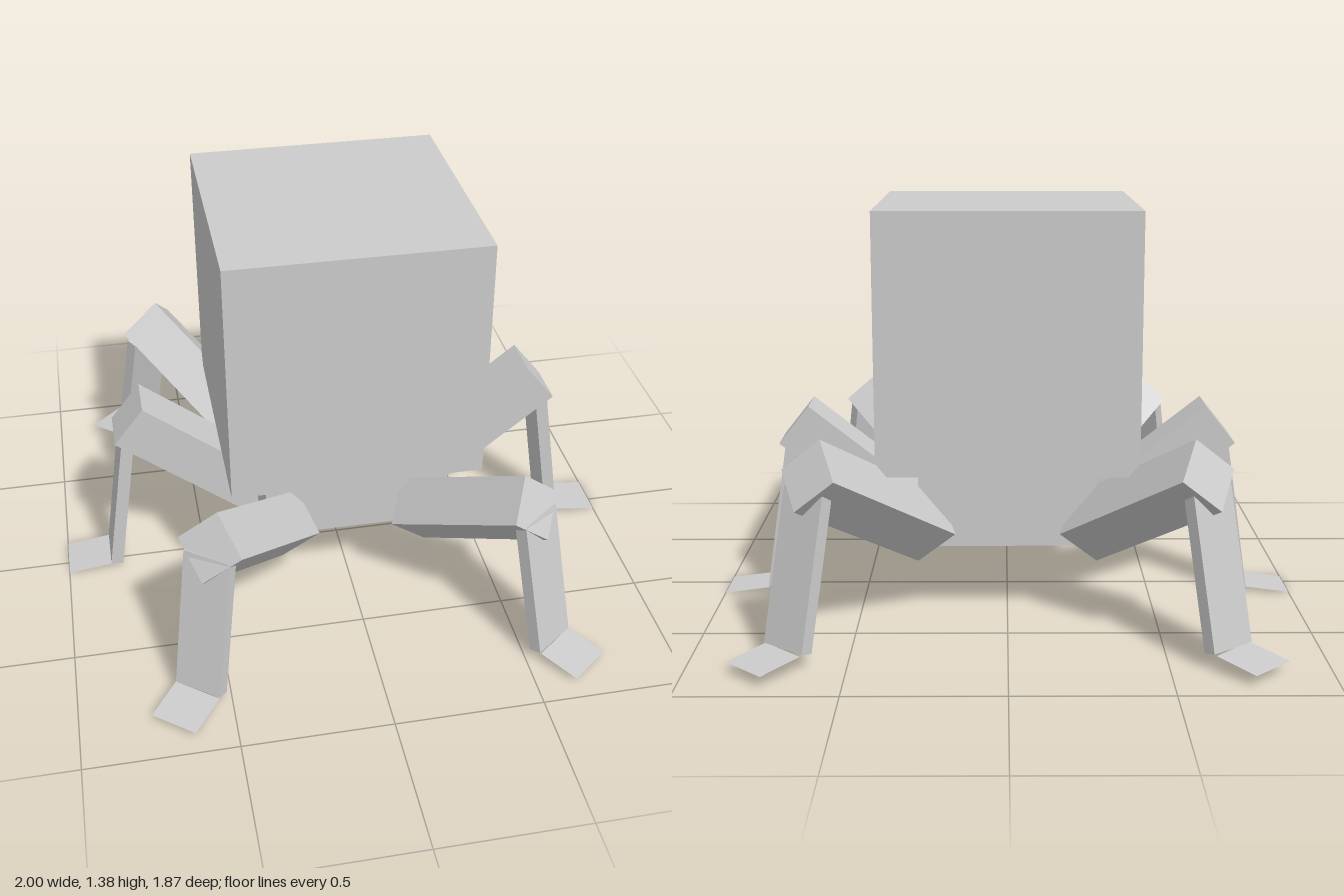
import * as THREE from 'three';

const material = new THREE.MeshStandardMaterial({ color: 0xcccccc, flatShading: true, side: THREE.DoubleSide });
const LEG_WIDTH = 0.168;

function part(name, geometry) {
  const mesh = new THREE.Mesh(geometry, material);
  mesh.name = name;
  return mesh;
}

function block(name, size, center) {
  const mesh = part(name, new THREE.BoxGeometry(...size));
  mesh.position.set(...center);
  return mesh;
}

// Places a part whose length runs along local z between two points, its width level
function span(mesh, from, to) {
  const dir = to.clone().sub(from).normalize();
  const side = new THREE.Vector3(0, 1, 0).cross(dir).normalize();
  const normal = dir.clone().cross(side);
  mesh.quaternion.setFromRotationMatrix(new THREE.Matrix4().makeBasis(side, normal, dir));
  mesh.position.copy(from).add(to).multiplyScalar(0.5);
  return mesh;
}

function limb(name, from, to, thickness, roll = 0) {
  const geometry = new THREE.BoxGeometry(LEG_WIDTH, thickness, from.distanceTo(to));
  return span(part(name, geometry.rotateZ(roll)), from, to);
}

function foot(from, to) {
  const geometry = new THREE.PlaneGeometry(LEG_WIDTH, from.distanceTo(to));
  return span(part('foot', geometry.rotateX(-Math.PI / 2)), from, to);
}

// Joint positions of the three legs on the left side
const LEGS = [
  {
    name: 'FrontLeg', roll: Math.PI / 4,
    hip: [0.22, 0.295, 0.285], knee: [0.535, 0.55, 0.675],
    shinTop: [0.535, 0.52, 0.67], ankle: [0.596, 0.035, 0.75],
    heel: [0.61, 0.038, 0.767], toe: [0.7, 0.015, 0.88],
  },
  {
    name: 'MiddleLeg', roll: 0,
    hip: [0.27, 0.24, -0.027], knee: [0.74, 0.612, -0.027],
    shinTop: [0.75, 0.53, -0.027], ankle: [0.826, 0.02, -0.027],
    heel: [0.845, 0.02, -0.027], toe: [1.0, 0, -0.027],
  },
  {
    name: 'BackLeg', roll: Math.PI / 4,
    hip: [0.265, 0.292, -0.272], knee: [0.62, 0.588, -0.685],
    shinTop: [0.62, 0.54, -0.665], ankle: [0.687, 0.05, -0.75],
    heel: [0.7, 0.053, -0.768], toe: [0.805, 0.035, -0.88],
  },
];

export function createModel() {
  const model = new THREE.Group();
  model.name = 'sixLeggedWalker';

  // Large cube body above a flat base
  model.add(block('body', [0.86, 0.86, 0.86], [0, 0.95, -0.03]));
  model.add(block('base', [0.6, 0.255, 0.6], [0, 0.37, -0.022]));

  // Legs, mirrored left and right
  for (const sign of [1, -1]) {
    for (const spec of LEGS) {
      const at = (joint) => new THREE.Vector3(sign * spec[joint][0], spec[joint][1], spec[joint][2]);
      const leg = new THREE.Group();
      leg.name = (sign > 0 ? 'left' : 'right') + spec.name;
      leg.add(
        limb('upperLeg', at('hip'), at('knee'), LEG_WIDTH, spec.roll),
        limb('lowerLeg', at('shinTop'), at('ankle'), 0.043),
        foot(at('heel'), at('toe')),
      );
      model.add(leg);
    }
  }
  return model;
}
